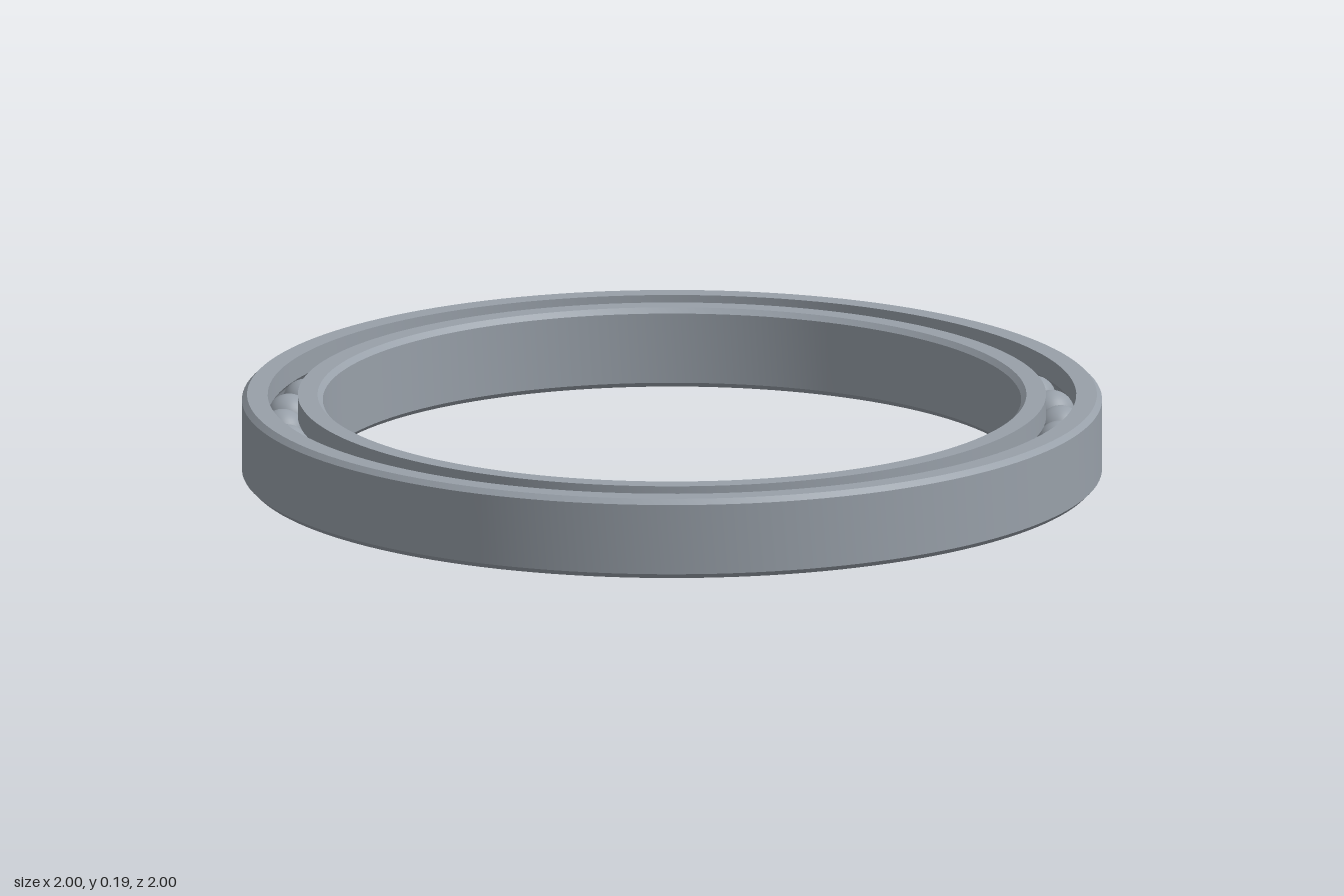
import * as THREE from 'three';
import { toCreasedNormals } from 'three/addons/utils/BufferGeometryUtils.js';

const HEIGHT = 0.19, MID = HEIGHT / 2;
const PITCH = 0.905;        // radius of the circle of ball centres
const GROOVE = 0.055;       // raceway radius
const HALF = Math.acos(0.035 / GROOVE); // half angle of the raceway arc
const CHAMFER = 0.012;

// Raceway arc around the ball centre, from angle a to angle b
function raceway(a, b, steps = 12) {
  return Array.from({ length: steps + 1 }, (_, i) => {
    const t = a + (b - a) * i / steps;
    return [PITCH + GROOVE * Math.cos(t), MID + GROOVE * Math.sin(t)];
  });
}

// Closed cross-section turned around the y axis
function turnedRing(name, profile, material) {
  const points = [...profile, profile[0]].map(([r, y]) => new THREE.Vector2(r, y));
  const geometry = toCreasedNormals(new THREE.LatheGeometry(points, 144), 0.5);
  const mesh = new THREE.Mesh(geometry, material);
  mesh.name = name;
  return mesh;
}

export function createModel() {
  const group = new THREE.Group();
  group.name = 'ballBearing';
  const steel = new THREE.MeshStandardMaterial({ color: 0x98a0a9 });
  steel.name = 'steel';

  // Outer ring: chamfered outside, raceway on the inner wall
  group.add(turnedRing('outerRing', [
    [1 - CHAMFER, 0], [1, CHAMFER], [1, HEIGHT - CHAMFER], [1 - CHAMFER, HEIGHT],
    [0.94, HEIGHT], ...raceway(HALF, -HALF), [0.94, 0],
  ], steel));

  // Inner ring: raceway on the outer wall, chamfered bore
  const bore = 0.812;
  group.add(turnedRing('innerRing', [
    [0.87, 0], ...raceway(Math.PI + HALF, Math.PI - HALF), [0.87, HEIGHT],
    [bore + CHAMFER, HEIGHT], [bore, HEIGHT - CHAMFER], [bore, CHAMFER], [bore + CHAMFER, 0],
  ], steel));

  // Balls, evenly spaced in the raceway
  const balls = new THREE.Group();
  balls.name = 'balls';
  const ballGeometry = new THREE.SphereGeometry(0.054, 32, 20);
  const count = 39;
  for (let i = 0; i < count; i++) {
    const a = i / count * Math.PI * 2 + 0.008;
    const ball = new THREE.Mesh(ballGeometry, steel);
    ball.name = 'ball';
    ball.position.set(PITCH * Math.sin(a), MID, -PITCH * Math.cos(a));
    balls.add(ball);
  }
  group.add(balls);
  return group;
}
